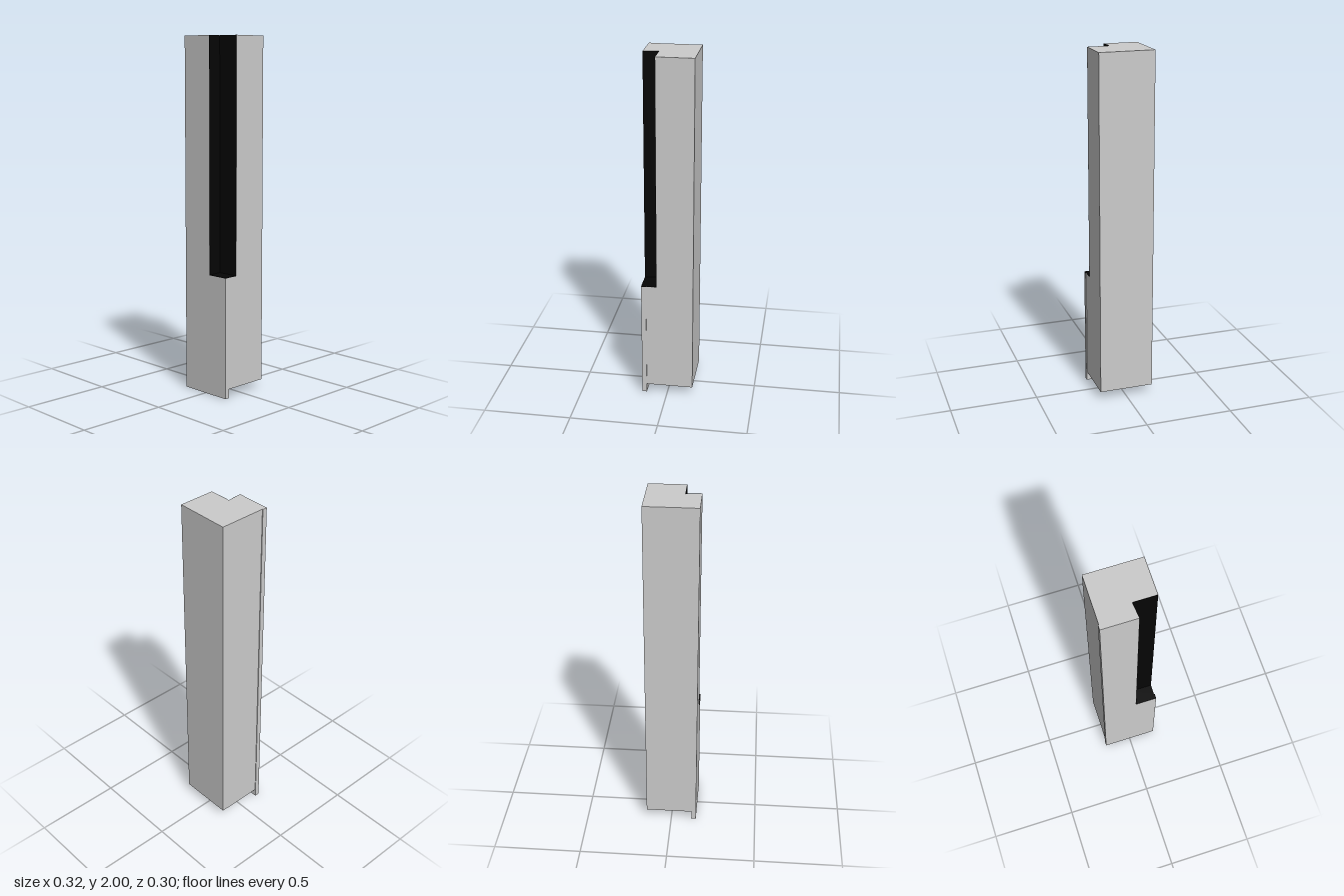
import * as THREE from 'three';

const BOTTOM = 0.05, LEDGE = 0.685, TOP = 2;
const SIDE = 0.156, LIP = 0.16, BACK = -0.148, STEP = 0.12, FRONT = 0.147;

// Upright prism over an outline of [x, z] points
function prism(name, outline, y0, y1, material) {
  const shape = new THREE.Shape(outline.map(([x, z]) => new THREE.Vector2(x, -z)));
  const geometry = new THREE.ExtrudeGeometry(shape, { depth: y1 - y0, bevelEnabled: false });
  geometry.rotateX(-Math.PI / 2).translate(0, y0, 0);
  const mesh = new THREE.Mesh(geometry, material);
  mesh.name = name;
  return mesh;
}

export function createModel() {
  const group = new THREE.Group();
  group.name = 'notchedPost';
  const grey = new THREE.MeshStandardMaterial({ color: 0xcccccc });
  const black = new THREE.MeshStandardMaterial({ color: 0x050505 });

  // Outline shared by both halves: square post with a slightly wider front panel
  const leftAndBack = [
    [-LIP, FRONT], [-LIP, STEP], [-SIDE, STEP], [-SIDE, BACK], [SIDE, BACK],
  ];
  // Corner cut-out with one slanted wall
  const notch = [[SIDE, 0.06], [0.027, 0.06], [0.035, FRONT]];

  group.add(prism('lowerPost',
    [...leftAndBack, [SIDE, STEP], [LIP, STEP], [LIP, FRONT]], BOTTOM, LEDGE, grey));
  group.add(prism('upperPost', [...leftAndBack, ...notch], LEDGE, TOP, grey));

  // Front panel continues below the post down to the ground
  group.add(prism('frontPanelFoot',
    [[-LIP, FRONT], [-LIP, STEP], [LIP, STEP], [LIP, FRONT]], 0, BOTTOM, grey));

  // Dark lining of the notch: two walls and the ledge
  const t = 0.001;
  group.add(prism('notchWalls',
    [...notch, [0.035 + t, FRONT], [0.027 + t, 0.06 + t], [SIDE, 0.06 + t]], LEDGE, TOP, black));
  group.add(prism('notchLedge',
    [...notch, [LIP, FRONT], [LIP, STEP], [SIDE, STEP]], LEDGE, LEDGE + 0.002, black));

  return group;
}
